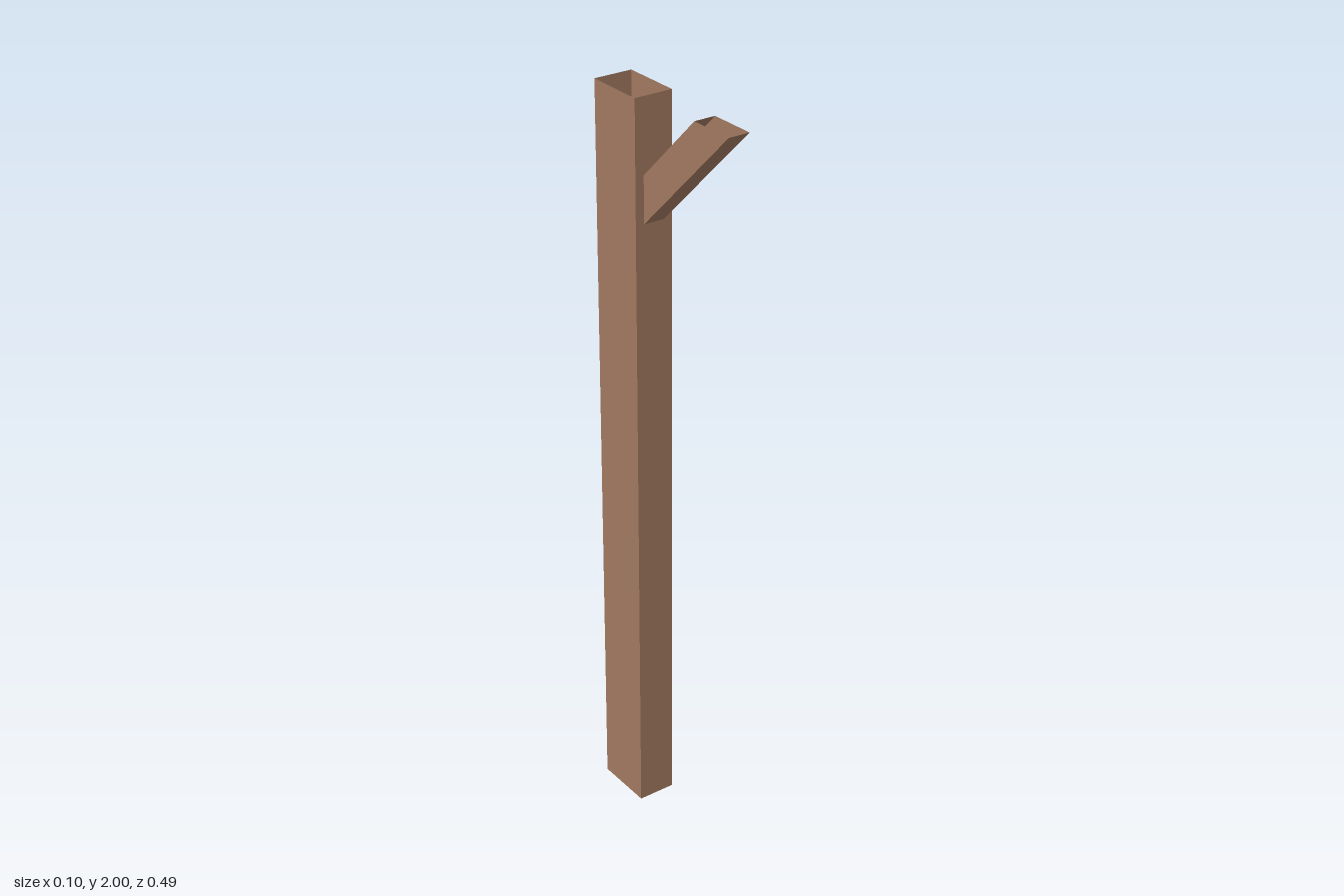
import * as THREE from 'three';

const wood = new THREE.MeshStandardMaterial({ color: 0xa07860, flatShading: true, side: THREE.DoubleSide });

// Hollow square tube, open at both ends, whose cross-section slides in z from zBottom to zTop
function openTube(name, width, depth, yBottom, yTop, zBottom, zTop) {
  const height = yTop - yBottom;
  const geometry = new THREE.BoxGeometry(width, height, depth);
  // Drop the top and bottom faces
  const index = Array.from(geometry.index.array);
  index.splice(12, 12);
  geometry.setIndex(index);
  geometry.clearGroups();
  // Shear, keeping the ends level
  const p = geometry.attributes.position;
  for (let i = 0; i < p.count; i++) {
    const t = p.getY(i) / height + 0.5;
    p.setZ(i, p.getZ(i) + THREE.MathUtils.lerp(zBottom, zTop, t));
  }
  geometry.computeVertexNormals();
  const mesh = new THREE.Mesh(geometry, wood);
  mesh.name = name;
  mesh.position.y = (yBottom + yTop) / 2;
  return mesh;
}

export function createModel() {
  const group = new THREE.Group();
  group.name = 'bracedPost';
  // Upright post
  group.add(openTube('post', 0.104, 0.163, 0, 2, -0.1615, -0.1615));
  // Slanted brace, starting inside the post and rising to the front
  group.add(openTube('brace', 0.057, 0.126, 1.662, 2, -0.166, 0.18));
  return group;
}
